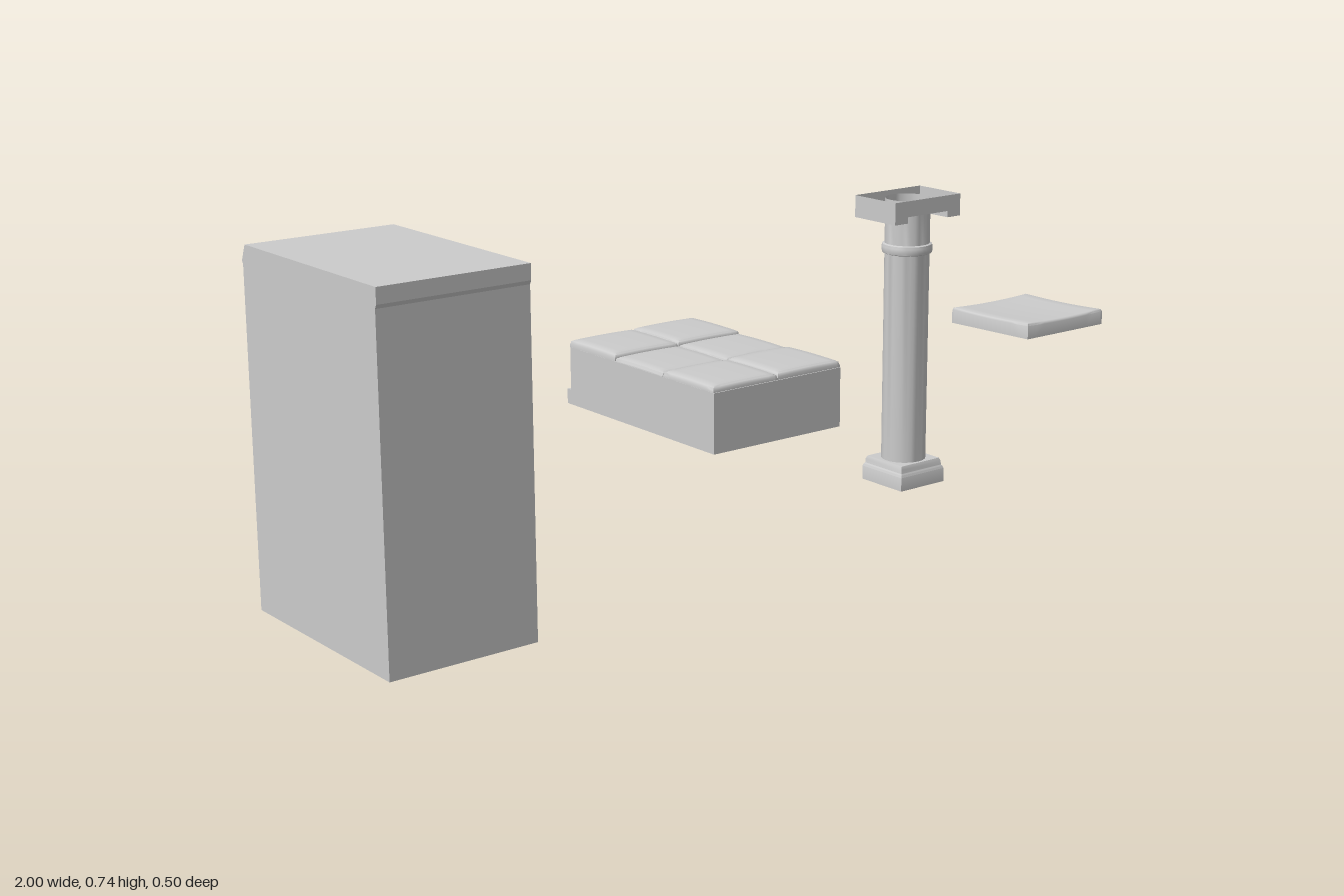
import * as THREE from 'three';
import { toCreasedNormals } from 'three/addons/utils/BufferGeometryUtils.js';

const solid = new THREE.MeshStandardMaterial({ color: 0xcccccc });
const open = new THREE.MeshStandardMaterial({ color: 0xcccccc, side: THREE.DoubleSide });

function add(parent, name, geometry, material = solid) {
  const mesh = new THREE.Mesh(geometry, material);
  mesh.name = name;
  parent.add(mesh);
  return mesh;
}

function group(parent, name, x = 0) {
  const g = new THREE.Group();
  g.name = name;
  g.position.x = x;
  parent.add(g);
  return g;
}

const shapeOf = pts => new THREE.Shape(pts.map(p => new THREE.Vector2(...p)));

// Side profile given as [z, y] points, swept across x from x0 to x1
function sweepX(pts, x0, x1) {
  return new THREE.ExtrudeGeometry(shapeOf(pts), { depth: x1 - x0, bevelEnabled: false })
    .rotateY(-Math.PI / 2).translate(x1, 0, 0);
}

// Open-bottomed sheet: the outer ring of vertices hangs down to the bottom,
// the next ring starts the rounded shoulder, the rest follow top(u, v)
function cushionSheet(w, d, bottom, top, round) {
  const n = 16;
  const geo = new THREE.PlaneGeometry(1, 1, n, n).rotateX(-Math.PI / 2);
  const pos = geo.attributes.position;
  const inset = [0, 0, 0.3, 1];
  const coord = (i, half) => {
    const k = Math.min(i, n - i);
    const e = k < 4 ? half - inset[k] * round : (half - round) * (n / 2 - k) / (n / 2 - 3);
    return i < n / 2 ? -e : e;
  };
  const drop = [0, 1, 0.3, 0];
  for (let j = 0; j <= n; j++) {
    for (let i = 0; i <= n; i++) {
      const k = Math.min(i, n - i, j, n - j);
      const x = coord(i, w / 2), z = coord(j, d / 2);
      const y = k === 0 ? bottom(2 * x / w, 2 * z / d)
        : top(2 * x / w, 2 * z / d) - (k < 4 ? drop[k] * round : 0);
      pos.setXYZ(j * (n + 1) + i, x, y, z);
    }
  }
  return toCreasedNormals(geo, 0.9);
}

function buildBlock(parent) {
  const profile = [[0.243, 0], [0.243, 0.695], [0.247, 0.703], [0.247, 0.735],
    [-0.235, 0.735], [-0.249, 0.702], [-0.245, 0.695], [-0.245, 0]];
  add(parent, 'tallBlock', sweepX(profile.reverse(), -1, -0.675));
}

function buildCushionedBox(parent) {
  const g = group(parent, 'cushionedBox');
  // Box with a low ledge along the back
  add(g, 'box', sweepX([[0.252, 0.295], [0.252, 0.42], [-0.237, 0.42], [-0.237, 0.327],
    [-0.25, 0.327], [-0.25, 0.295]].reverse(), -0.255, 0.075));
  // Two columns by three rows of cushions
  const rows = [[0.168, 0.437], [0.004, 0.434], [-0.158, 0.44]];
  for (const [z, height] of rows) {
    for (const [x, lift] of [[-0.172, -0.002], [-0.007, 0]]) {
      const top = (u, v) => height + lift - 0.003 * (u * u + v * v) / 2;
      const cushion = add(g, 'cushion', cushionSheet(0.165, 0.163, () => 0.419, top, 0.008), open);
      cushion.position.set(x, 0, z);
    }
  }
}

function buildColumn(parent) {
  const g = group(parent, 'column', 0.491);

  // Hollow square base with a stepped, rounded top
  const baseProfile = [[0.065, 0.04], [0.065, 0.071], [0.063, 0.076], [0.0605, 0.079],
    [0.06, 0.088], [0.057, 0.095], [0, 0.095]]
    .map(([r, y]) => new THREE.Vector2(r * Math.SQRT2, y));
  add(g, 'base', toCreasedNormals(new THREE.LatheGeometry(baseProfile, 4, Math.PI / 4), 0.6), open);

  // Round shaft with its neck ring
  const shaftProfile = [[0.05, 0.075], [0.05, 0.567], [0.055, 0.569], [0.0565, 0.574],
    [0.0565, 0.583], [0.055, 0.588], [0.05, 0.59], [0.05, 0.69]]
    .map(p => new THREE.Vector2(...p));
  add(g, 'shaft', toCreasedNormals(new THREE.LatheGeometry(shaftProfile, 32), 0.7), open);

  // Open-topped capital with two lower ends
  const cap = group(g, 'capital');
  const [w, d, inner, low, mid, top] = [0.097, 0.065, 0.059, 0.648, 0.662, 0.697];
  const outline = shapeOf([[-w, top], [-w, low], [-inner, low], [-inner, mid],
    [inner, mid], [inner, low], [w, low], [w, top]]);
  const floor = shapeOf([[-inner, -d], [inner, -d], [inner, d], [-inner, d]]);
  floor.holes.push(new THREE.Path().absarc(0, 0, 0.05, 0, Math.PI * 2, true));
  add(cap, 'capitalFloor', new THREE.ShapeGeometry(floor, 24).rotateX(-Math.PI / 2).translate(0, mid, 0), open);
  for (const s of [-1, 1]) {
    add(cap, 'capitalFace', new THREE.ShapeGeometry(outline).translate(0, 0, s * d), open);
    add(cap, 'capitalEnd', new THREE.PlaneGeometry(2 * d, top - low)
      .rotateY(s * Math.PI / 2).translate(s * w, (top + low) / 2, 0), open);
    add(cap, 'capitalStep', new THREE.PlaneGeometry(2 * d, mid - low)
      .rotateY(-s * Math.PI / 2).translate(s * inner, (mid + low) / 2, 0), open);
    add(cap, 'capitalEndFloor', new THREE.PlaneGeometry(w - inner, 2 * d)
      .rotateX(-Math.PI / 2).translate(s * (w + inner) / 2, low, 0), open);
  }
}

function buildPad(parent) {
  // Hollow sagging pad with slightly raised corners
  const bottom = (u, v) => 0.348 + 0.003 * v;
  const top = (u, v) => 0.379 + 0.0025 * v + 0.0035 * u * u + 0.003 * v * v;
  const pad = add(parent, 'pad', cushionSheet(0.245, 0.246, bottom, top, 0.006), open);
  pad.position.x = 0.8775;
}

export function createModel() {
  const model = new THREE.Group();
  model.name = 'furnishingParts';
  buildBlock(model);
  buildCushionedBox(model);
  buildColumn(model);
  buildPad(model);
  return model;
}
